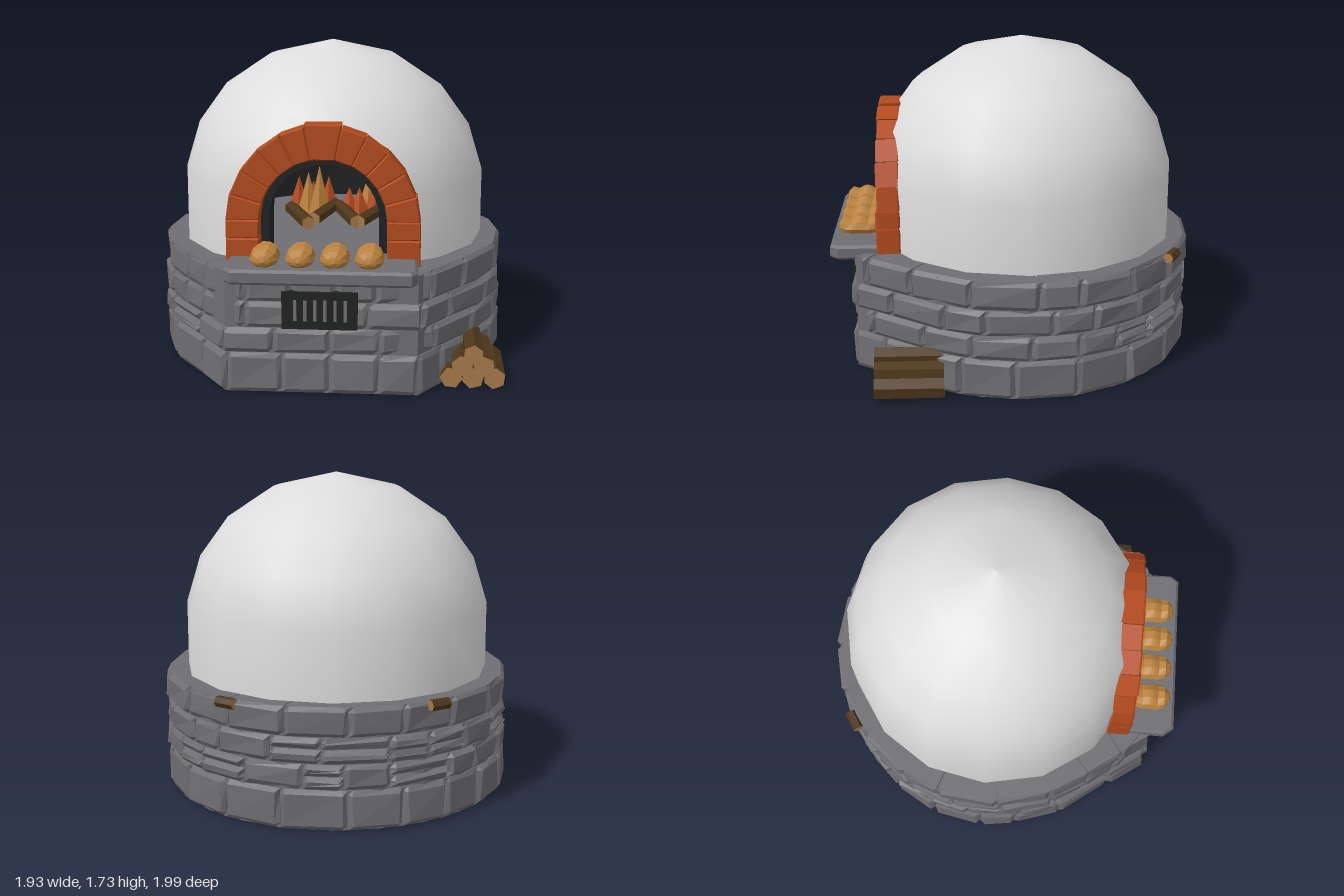
import * as THREE from 'three';
import { mergeGeometries } from 'three/addons/utils/BufferGeometryUtils.js';

const material = (name, color, extra = {}) =>
  Object.assign(new THREE.MeshStandardMaterial({ color, ...extra }), { name });

export function createModel() {
  const flat = { flatShading: true };
  const stone = material('stone grey', 0x6f6f73, flat);
  const plaster = material('plaster white', 0xdcdcdc);
  const soot = material('soot black', 0x202122, { side: THREE.DoubleSide });
  const brick = material('brick orange', 0xb24a1e, flat);
  const crust = material('bread crust', 0xb8803c, flat);
  const bark = material('bark brown', 0x4e371b, flat);
  const cutWood = material('cut wood', 0xa57a4b, flat);

  const model = new THREE.Group();
  const add = (name, geo, mat, parent = model) => {
    const mesh = new THREE.Mesh(geo, mat);
    mesh.name = name;
    parent.add(mesh);
    return mesh;
  };
  const group = (name) => {
    const g = new THREE.Group();
    g.name = name;
    model.add(g);
    return g;
  };
  let seed = 7;
  const rnd = (a, b) => {
    seed = (seed * 16807) % 2147483647;
    return a + (b - a) * (seed / 2147483647);
  };

  // Base outline in x and z: a round wall with a flat front
  const outline = [new THREE.Vector2(0.5, 0.875)];
  for (let d = 45; d <= 315; d += 15) {
    const a = THREE.MathUtils.degToRad(d);
    outline.push(new THREE.Vector2(0.95 * Math.sin(a), -0.04 + 0.94 * Math.cos(a)));
  }
  outline.push(new THREE.Vector2(-0.5, 0.875));
  const wall = new THREE.Path().setFromPoints([...outline, outline[0]]);
  const wallLength = wall.getLength();
  const wallPoint = (along) => wall.getPointAt(Math.min((((along / wallLength) % 1) + 1) % 1, 0.9999));

  // Solid core behind the stones
  const core = new THREE.Shape(outline.map((p) => p.clone().multiplyScalar(0.985)));
  add('baseCore', new THREE.ExtrudeGeometry(core, { depth: 0.635, bevelEnabled: false })
    .rotateX(Math.PI / 2).translate(0, 0.635, 0), stone);

  // One chamfered stone, bent along the wall
  const stoneBlock = (s, w, y0, y1) => {
    const geo = new THREE.BoxGeometry(1, 1, 1, 3, 3, 1);
    const p = geo.attributes.position;
    const k = rnd(1, 99), bulge = rnd(0.004, 0.02), h = y1 - y0;
    const grid = (v, size) => (Math.abs(v) > 0.4 ? v : Math.sign(v) * (0.5 - 0.024 / size));
    for (let i = 0; i < p.count; i++) {
      const x = p.getX(i), y = p.getY(i), front = p.getZ(i) > 0;
      const edge = Math.abs(x) > 0.4 || Math.abs(y) > 0.4;
      const j = Math.sin(k + x * 13 + y * 29) * 0.005;
      const depth = front ? (edge ? -0.006 : bulge + j) : -0.16;
      const along = s + w * (0.5 + grid(x, w)) + j;
      const c = wallPoint(along);
      const t = wallPoint(along + 0.06).sub(wallPoint(along - 0.06)).normalize();
      const lift = Math.abs(y) > 0.4 ? 0 : j;
      p.setXYZ(i, c.x - t.y * depth, y0 + h * (0.5 + grid(y, h)) + lift, c.y + t.x * depth);
    }
    return geo;
  };
  const gap = 0.004, stones = [];
  [[0, 0.215], [0.215, 0.35], [0.35, 0.49], [0.49, 0.645]].forEach(([y0, y1], row) => {
    let s = row * 0.13;
    const end = s + wallLength;
    while (s < end - 0.01) {
      let w = rnd(0.2, 0.36);
      if (end - s - w < 0.17) w = end - s;
      const split = row % 3 !== 0 && rnd(0, 1) < 0.15 ? y0 + (y1 - y0) * rnd(0.4, 0.6) : y1;
      stones.push(stoneBlock(s, w - gap, y0, split - (split < y1 || row < 3 ? gap : 0)));
      if (split < y1) stones.push(stoneBlock(s, w - gap, split, y1 - gap));
      s += w;
    }
  });
  add('wallStones', mergeGeometries(stones), stone);

  // Arch outline shared by the opening, its lining and the bricks
  const archY = 0.87;
  const archPoints = (r, bottom) => {
    const pts = [new THREE.Vector2(-r, bottom), new THREE.Vector2(r, bottom)];
    for (let i = 0; i <= 16; i++) {
      const a = (i / 16) * Math.PI;
      pts.push(new THREE.Vector2(r * Math.cos(a), archY + r * Math.sin(a)));
    }
    return pts;
  };
  const archRing = (outer, inner, z0, depth) => {
    const ring = new THREE.Shape(archPoints(outer, 0.645));
    ring.holes.push(new THREE.Path(archPoints(inner, 0.646)));
    return new THREE.ExtrudeGeometry(ring, { depth, bevelEnabled: false }).translate(0, 0, z0);
  };

  // Removes the front of a shell that lies inside a convex outline
  const cutFront = (geo, poly) => {
    const flatGeo = geo.toNonIndexed();
    const P = flatGeo.attributes.position, N = flatGeo.attributes.normal;
    const pos = [], nor = [];
    const emit = (f) => {
      for (let i = 1; i + 1 < f.length; i++) {
        for (const v of [f[0], f[i], f[i + 1]]) {
          pos.push(...v.slice(0, 3));
          nor.push(...v.slice(3));
        }
      }
    };
    for (let i = 0; i < P.count; i += 3) {
      let piece = [0, 1, 2].map((n) => [
        P.getX(i + n), P.getY(i + n), P.getZ(i + n), N.getX(i + n), N.getY(i + n), N.getZ(i + n)]);
      if (piece[0][2] + piece[1][2] + piece[2][2] < 0) { emit(piece); continue; }
      poly.forEach((a, e) => {
        const b = poly[(e + 1) % poly.length];
        const side = (v) => (b.x - a.x) * (v[1] - a.y) - (b.y - a.y) * (v[0] - a.x);
        const inside = [], outside = [];
        piece.forEach((p, n) => {
          const q = piece[(n + 1) % piece.length], fp = side(p), fq = side(q);
          (fp >= 0 ? inside : outside).push(p);
          if (fp * fq < 0) {
            const m = p.map((c, k) => c + (q[k] - c) * (fp / (fp - fq)));
            inside.push(m);
            outside.push(m);
          }
        });
        emit(outside);
        piece = inside;
      });
    }
    const out = new THREE.BufferGeometry();
    out.setAttribute('position', new THREE.Float32BufferAttribute(pos, 3));
    out.setAttribute('normal', new THREE.Float32BufferAttribute(nor, 3));
    return out;
  };

  // Plaster dome and the sooty chamber inside it
  const shell = (k) => cutFront(new THREE.LatheGeometry(
    [[0.845, 0.62], [0.845, 1.0], [0.765, 1.26], [0.605, 1.48], [0.35, 1.65], [0, 1.73]]
      .map(([r, y]) => new THREE.Vector2(r * k, 0.62 + (y - 0.62) * k)), 16)
    .translate(0, 0, -0.05), archPoints(0.4, 0.55).slice(0, -1));
  add('dome', shell(1), plaster);
  add('chamber', shell(0.95), soot);
  add('chamberFloor', new THREE.CylinderGeometry(0.78, 0.78, 0.03, 16).translate(0, 0.645, -0.05), stone);
  add('mouthLining', archRing(0.41, 0.285, 0.45, 0.2), soot);

  // Brick arch: two straight courses a side, then wedges with a wide keystone
  const arch = group('brickArch');
  add('archBacking', archRing(0.485, 0.335, 0.635, 0.095), brick, arch);
  const addBrick = (corners) => add('archBrick', new THREE.ExtrudeGeometry(
    new THREE.Shape(corners.map(([x, y]) => new THREE.Vector2(x, y))),
    { depth: 0.1 + rnd(0, 0.012), bevelThickness: 0.01, bevelSize: 0.006, bevelOffset: -0.006, bevelSegments: 1 })
    .translate(0, 0, 0.63), brick, arch);
  for (const side of [0, 1]) {
    for (const [y0, y1] of [[0.645, 0.78], [0.784, 0.878]]) {
      const [a, b] = side ? [0.328, 0.5] : [-0.5, -0.328];
      addBrick([[a, y0], [b, y0], [b, y1], [a, y1]]);
    }
  }
  const unit = (Math.PI - 0.03) / 11.4;
  let angle = 0.015;
  for (let i = 0; i < 11; i++) {
    const span = unit * (i === 5 ? 1.4 : 1), a = angle + 0.004, b = angle + span - 0.004;
    const outer = (i === 5 ? 0.51 : 0.497) + rnd(-0.005, 0.005);
    const at = (r, t) => [r * Math.cos(t), archY + r * Math.sin(t)];
    addBrick([at(0.328, a), at(outer, a), at(outer, b), at(0.328, b)]);
    angle += span;
  }

  // Stone shelf under the mouth
  const ledge = new THREE.Shape([[-0.47, 0.61], [0.47, 0.61], [0.475, 0.95], [0.45, 0.985],
    [-0.44, 0.985], [-0.475, 0.94]].map(([x, z]) => new THREE.Vector2(x, z)));
  add('shelf', new THREE.ExtrudeGeometry(ledge,
    { depth: 0.05, bevelThickness: 0.014, bevelSize: 0.014, bevelSegments: 1 })
    .rotateX(Math.PI / 2).translate(0, 0.674, 0), stone);

  // Four scored loaves
  const loaves = group('loaves');
  for (const x of [-0.285, -0.105, 0.07, 0.245]) {
    const geo = new THREE.CapsuleGeometry(0.074, 0.09, 3, 10, 6).rotateX(Math.PI / 2);
    const p = geo.attributes.position;
    for (let i = 0; i < p.count; i++) {
      const y = p.getY(i), ridge = 0.65 + 0.27 * Math.abs(Math.cos(p.getZ(i) * 35));
      p.setY(i, y > 0 ? y * ridge : Math.max(y * 0.6, -0.035));
    }
    add('loaf', geo.translate(x, 0.72, 0.85), crust, loaves);
  }

  // Vent grate
  const grate = group('ventGrate');
  add('grateFrame', new THREE.BoxGeometry(0.385, 0.195, 0.05).translate(-0.005, 0.453, 0.882), soot, grate);
  for (let i = 0; i < 6; i++) {
    add('grateBar', new THREE.BoxGeometry(0.017, 0.11, 0.008)
      .translate(-0.13 + i * 0.051, 0.455, 0.908), stone, grate);
  }

  // Firewood stacked beside the wall
  const log = (r, length) => new THREE.CylinderGeometry(r, r, length, 6);
  const logMaterials = [bark, cutWood, cutWood];
  const pile = group('logPile');
  for (let row = 0; row < 3; row++) {
    for (let i = 0; i < 3 - row; i++) {
      const geo = log(rnd(0.054, 0.06), 0.36).rotateY(rnd(0, 1)).rotateX(Math.PI / 2);
      add('log', geo.translate(0.67 + i * 0.112 + row * 0.056, 0.055 + row * 0.063, 0.575), logMaterials, pile);
    }
  }

  // Fire in the chamber: logs on the floor with flames behind them
  const fire = group('fire');
  for (const [x, z, turn] of [[-0.2, -0.1, 0.35], [-0.06, -0.2, -0.25], [0.08, -0.15, 0.3], [0.22, -0.15, -0.35]]) {
    add('fireLog', log(0.04, 0.4).rotateX(Math.PI / 2).rotateY(turn).translate(x, 0.698, z), logMaterials, fire);
  }
  [[-0.23, 0.87, brick], [-0.17, 0.9, crust], [-0.1, 0.95, crust], [-0.05, 0.87, brick], [-0.14, 0.85, brick],
    [0.08, 0.82, brick], [0.19, 0.89, crust], [0.23, 0.86, brick], [0.14, 0.82, brick]]
    .forEach(([x, top, mat], i) => add('flame', new THREE.ConeGeometry(0.07, top - 0.66, 5)
      .translate(x, (top + 0.66) / 2, -0.4 + (i % 3) * 0.04), mat, fire));

  // Small timbers set into the top of the wall at the back
  for (const side of [-1, 1]) {
    add('backTimber', log(0.03, 0.11).rotateZ(Math.PI / 2).rotateY(side * -0.55)
      .translate(side * 0.54, 0.628, -0.83), logMaterials);
  }

  return model;
}
